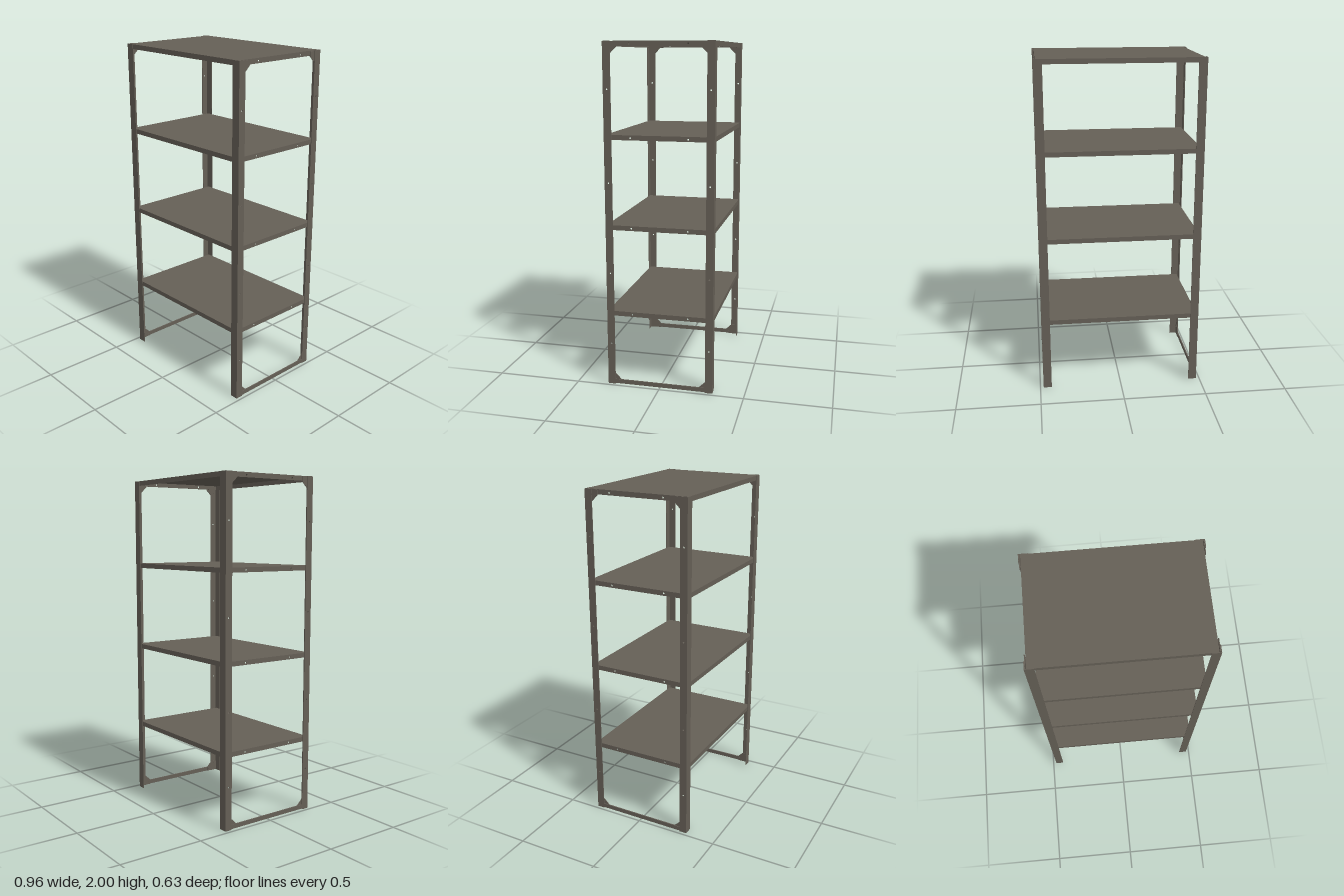
import * as THREE from 'three';

const H = 2, D = 0.315, X = 0.48; // height, half depth, half width
const SHEET = 0.004;
const INNER = 0.271;              // inner edge of the uprights

export function createModel() {
  const steel = new THREE.MeshStandardMaterial({ color: 0x655f56 });
  steel.name = 'brownGreySteel';
  const rack = new THREE.Group();
  rack.name = 'shelvingRack';

  const add = (parent, geometry, name, x = 0, y = 0, z = 0) => {
    const mesh = new THREE.Mesh(geometry, steel);
    mesh.name = name;
    mesh.position.set(x, y, z);
    parent.add(mesh);
    return mesh;
  };

  // Sheet cut in the z-y plane, extruded along +x (shape x becomes -z)
  const sheet = (shape, depth) => new THREE.ExtrudeGeometry(shape, {
    depth, bevelEnabled: false, curveSegments: 8,
  }).rotateY(Math.PI / 2);
  const polygon = (points) => points.map(([a, b]) => new THREE.Vector2(a, b));
  const rectangle = (a, b, c, d) => new THREE.Shape(polygon([[a, b], [c, b], [c, d], [a, d]]));
  const drill = (shape, points) => {
    for (const [a, b] of points) {
      shape.holes.push(new THREE.Path().absarc(a, b, 0.005, 0, Math.PI * 2, true));
    }
    return shape;
  };

  // Angle-iron upright: a drilled side flange and a plain face flange
  const upright = (sz) => {
    const [a, b] = sz > 0 ? [-D, -INNER] : [INNER, D];
    const holes = [0.255, 0.685, 1.215, 1.74].map((y) => [-sz * 0.293, y]);
    return sheet(drill(rectangle(a, 0, b, H), holes), SHEET);
  };
  const faceFlange = new THREE.BoxGeometry(0.05, H, 0.003);

  // Corner gussets at the top and bottom of each upright
  const gusset = (sz, top) => {
    const points = [[0.311, 0.003], [0.311, 0.065], [INNER, 0.065], [0.235, 0.03], [0.235, 0.003]];
    return sheet(new THREE.Shape(polygon(points.map(([z, y]) => [-z * sz, top ? H - y : y]))), SHEET);
  };
  const bolt = new THREE.CylinderGeometry(0.005, 0.005, 0.005, 6).rotateZ(Math.PI / 2);
  const footRail = new THREE.BoxGeometry(0.007, 0.025, INNER * 2);

  for (const side of [-1, 1]) {
    const frame = new THREE.Group();
    frame.name = side > 0 ? 'leftFrame' : 'rightFrame';
    // The frame is symmetric front to back, so a half turn mirrors it
    frame.rotation.y = side > 0 ? 0 : Math.PI;
    rack.add(frame);
    add(frame, footRail, 'footRail', X - 0.0035, 0.0175);
    for (const sz of [-1, 1]) {
      add(frame, upright(sz), 'uprightSide', X - SHEET);
      add(frame, faceFlange, 'uprightFace', X - 0.025, H / 2, sz * (D - 0.0015));
      for (const top of [false, true]) {
        add(frame, gusset(sz, top), 'cornerGusset', X - 2 * SHEET);
        for (const [z, y] of [[0.295, 0.05], [0.25, 0.018]]) {
          add(frame, bolt, 'gussetBolt', X - 2 * SHEET, top ? H - y : y, sz * z);
        }
      }
    }
  }

  // Four folded-sheet shelves, open underneath
  const W = 0.468, L = 0.312, T = 0.003, EDGE = 0.028;
  const deck = new THREE.BoxGeometry(W * 2, T, L * 2);
  const longEdge = new THREE.BoxGeometry(W * 2, EDGE - T, T);
  const endEdge = sheet(drill(rectangle(-L + T, -EDGE, L - T, -T), [[-0.165, -0.015], [0.165, -0.015]]), T);
  for (const top of [0.453, 0.969, 1.487, 2]) {
    const shelf = new THREE.Group();
    shelf.name = 'shelf';
    shelf.position.y = top;
    rack.add(shelf);
    add(shelf, deck, 'deck', 0, -T / 2);
    for (const s of [-1, 1]) {
      add(shelf, longEdge, 'longEdge', 0, -(EDGE + T) / 2, s * (L - T / 2));
      add(shelf, endEdge, 'endEdge', s > 0 ? W - T : -W);
    }
  }
  return rack;
}
